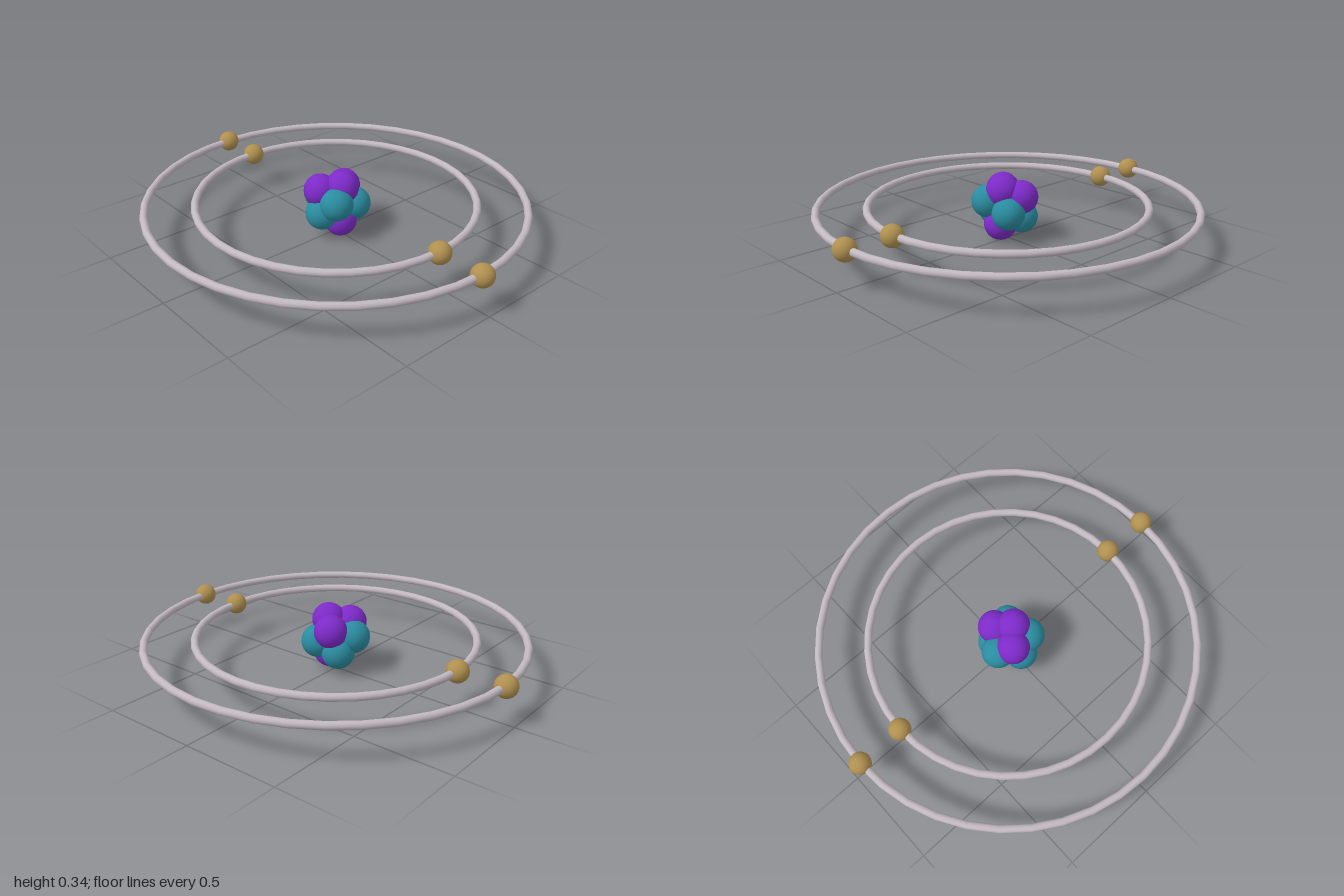
import * as THREE from 'three';

const ORBIT_Y = 0.185;

export function createModel() {
  const model = new THREE.Group();
  const mat = (color) => new THREE.MeshStandardMaterial({ color });
  const purple = mat(0x7d2ac8), teal = mat(0x2a8ca0), gold = mat(0xb09050), silver = mat(0xc2b8c0);

  const add = (parent, name, geometry, material, x, y, z) => {
    const mesh = new THREE.Mesh(geometry, material);
    mesh.name = name;
    mesh.position.set(x, y, z);
    parent.add(mesh);
    return mesh;
  };

  // Nucleus: a packed cluster of protons and neutrons
  const nucleus = new THREE.Group();
  nucleus.name = 'nucleus';
  model.add(nucleus);
  const nucleon = new THREE.SphereGeometry(0.083, 32, 20);
  const protons = [
    [-0.073, 0.238, -0.033], [0.005, 0.258, 0.041],
    [0.072, 0.226, -0.025], [-0.008, 0.084, 0.043],
  ];
  const neutrons = [
    [-0.063, 0.197, 0.078], [-0.092, 0.132, 0.003], [0.068, 0.157, 0.06],
    [0.045, 0.115, -0.05], [-0.026, 0.187, -0.09],
  ];
  protons.forEach((p, i) => add(nucleus, `proton${i + 1}`, nucleon, purple, ...p));
  neutrons.forEach((p, i) => add(nucleus, `neutron${i + 1}`, nucleon, teal, ...p));

  // Two flat orbits, each carrying a pair of opposite electrons
  const electron = new THREE.SphereGeometry(0.055, 32, 20);
  [['inner', 0.698], ['outer', 0.942]].forEach(([name, radius]) => {
    const shell = new THREE.Group();
    shell.name = `${name}Shell`;
    model.add(shell);
    const ring = add(shell, `${name}Orbit`, new THREE.TorusGeometry(radius, 0.019, 14, 40), silver, 0, ORBIT_Y, 0);
    ring.rotation.x = -Math.PI / 2;
    for (const side of [1, -1]) {
      add(shell, `${name}Electron${side > 0 ? 'Front' : 'Back'}`, electron, gold, 0, ORBIT_Y, side * (radius + 0.003));
    }
  });

  return model;
}
